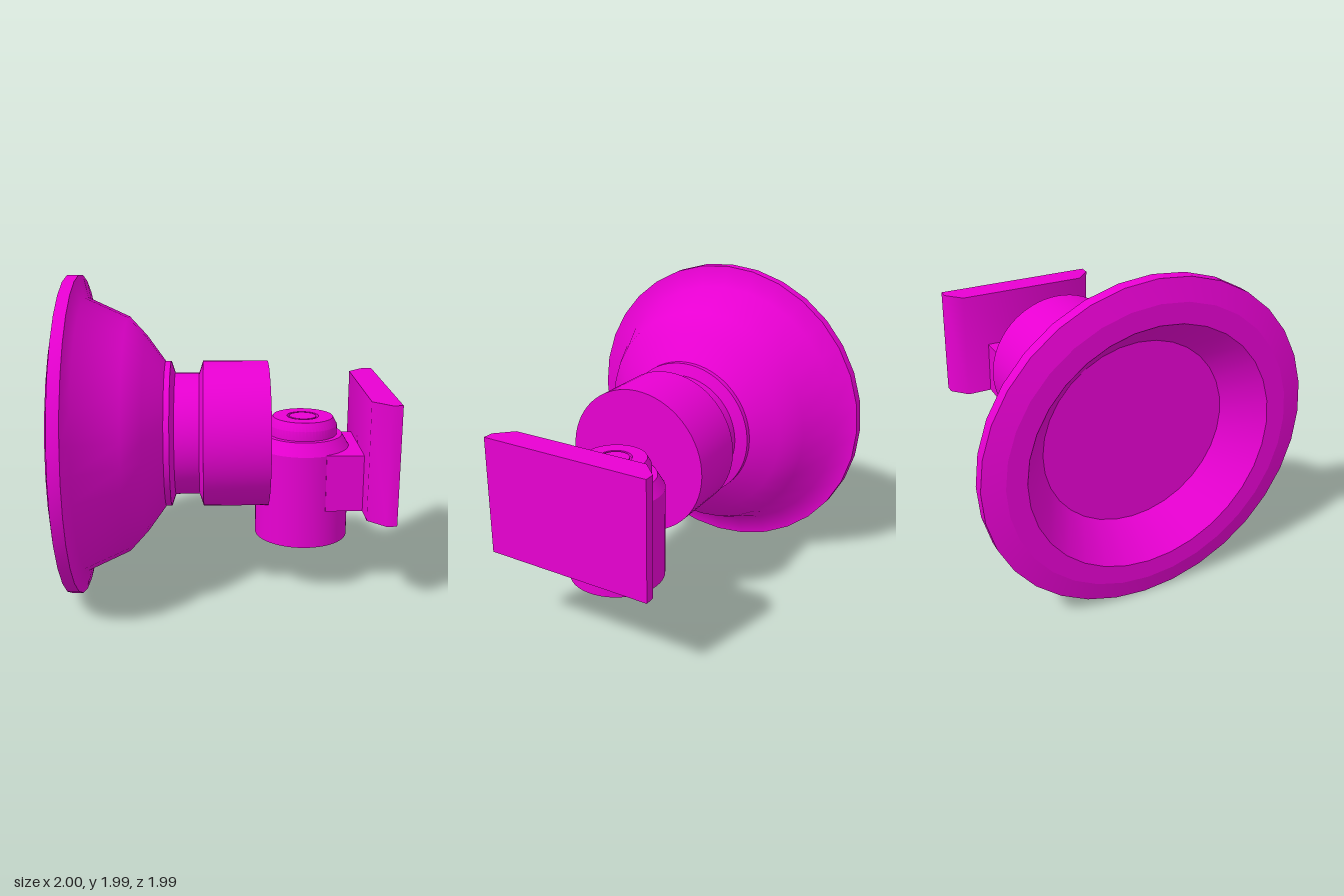
import * as THREE from 'three';
import { toCreasedNormals } from 'three/addons/utils/BufferGeometryUtils.js';

const material = new THREE.MeshStandardMaterial({ color: 0xe800d2 });

function part(name, geometry) {
  const mesh = new THREE.Mesh(geometry, material);
  mesh.name = name;
  return mesh;
}

// Revolve [radius, height] pairs; edges sharper than the crease angle stay hard
function turned(profile, sides, crease = 0.5) {
  const points = profile.map(([r, h]) => new THREE.Vector2(r, h));
  return toCreasedNormals(new THREE.LatheGeometry(points, sides), crease);
}

export function createModel() {
  const group = new THREE.Group();
  group.name = 'suctionMount';

  // Hollow inside of the cup: floor, sloping wall and flat sealing ring
  const hollow = part('cupHollow', turned([
    [0, -0.785], [0.57, -0.785], [0.75, -1], [0.87, -1],
  ], 32));

  // Outside of the cup, blending softly from rim to collar
  const cup = part('suctionCup', turned([
    [0.87, -1], [0.997, -0.97], [0.997, -0.9],
    [0.86, -0.87], [0.74, -0.61], [0.62, -0.5], [0.46, -0.385],
  ], 32, 1));

  // Collar, narrow neck and wide barrel
  const barrel = part('barrel', turned([
    [0, -0.385], [0.46, -0.385], [0.46, -0.35], [0.385, -0.325], [0.385, -0.175],
    [0.46, -0.15], [0.46, 0.255], [0, 0.255],
  ], 64));

  // These three share the horizontal axis
  for (const mesh of [hollow, cup, barrel]) {
    mesh.rotation.z = -Math.PI / 2;
    mesh.position.y = 0.997;
    group.add(mesh);
  }

  // Upright pivot with a stepped cap and a ring groove around the screw head
  const pivot = part('pivot', turned([
    [0, 0.33], [0.297, 0.33], [0.297, 0.92], [0.25, 1], [0.217, 1], [0.217, 1.06],
    [0.19, 1.11], [0.1, 1.11], [0.1, 1.09], [0.085, 1.09], [0.085, 1.11], [0, 1.11],
  ], 64));
  pivot.position.x = 0.48;
  group.add(pivot);

  // Block joining pivot and plate
  const arm = part('arm', new THREE.BoxGeometry(0.235, 0.36, 0.55));
  arm.position.set(0.7225, 0.745, 0);
  group.add(arm);

  // Plate with its two inner upright edges softly bevelled
  const outline = new THREE.Shape([
    [0.835, -0.44], [0.935, -0.54], [1, -0.54], [1, 0.54], [0.935, 0.54], [0.835, 0.44],
  ].map(([x, z]) => new THREE.Vector2(x, z)));
  const plate = part('mountingPlate', toCreasedNormals(
    new THREE.ExtrudeGeometry(outline, { depth: 0.74, bevelEnabled: false }), 0.9));
  plate.rotation.x = -Math.PI / 2;
  plate.position.y = 0.565;
  group.add(plate);

  return group;
}
